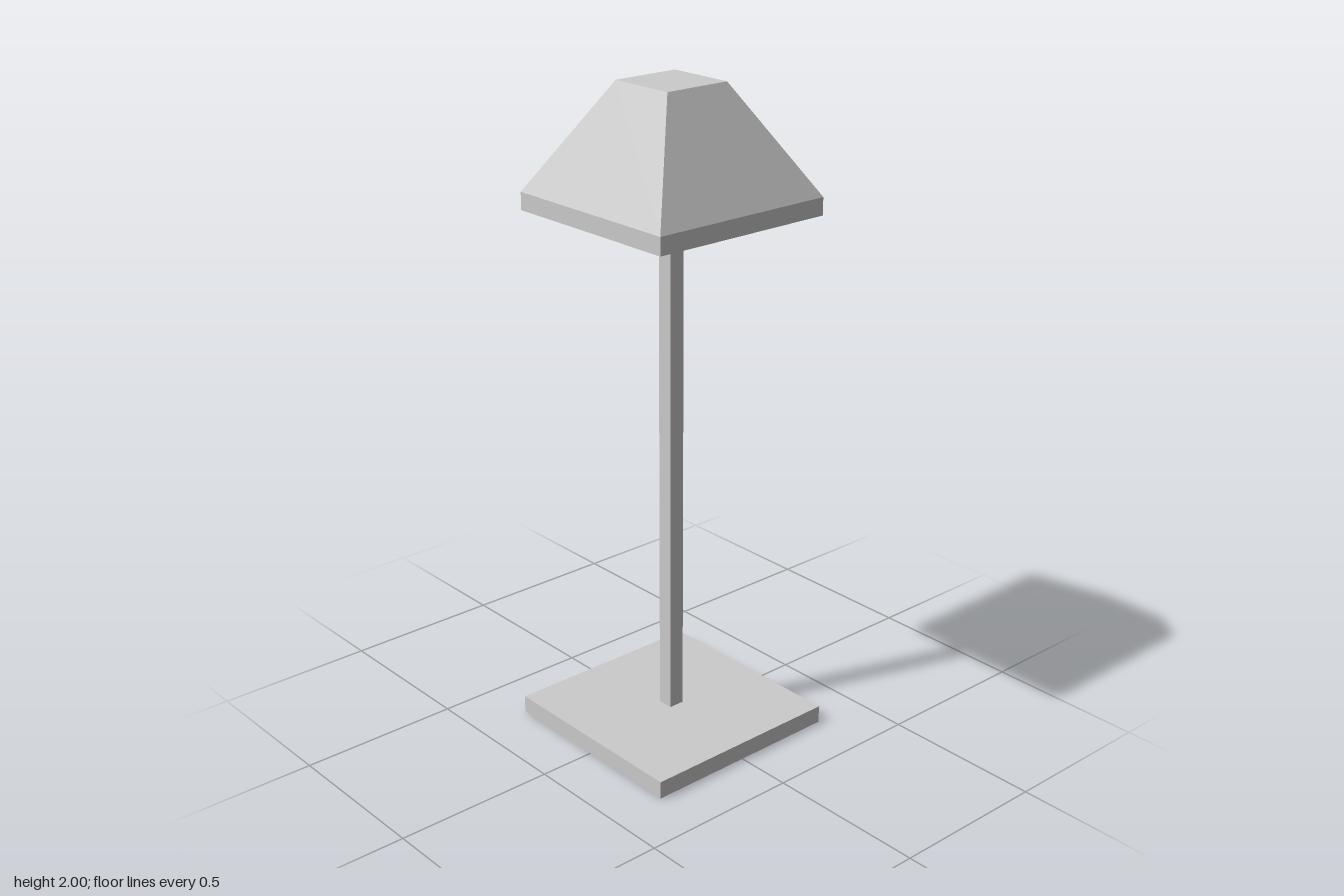
import * as THREE from 'three';

const material = new THREE.MeshStandardMaterial({ color: 0xcccccc, flatShading: true });

// Square solid from a [half width, height] profile listed from bottom to top
function squareSolid(name, profile) {
  const points = profile.map(([half, y]) => new THREE.Vector2(half * Math.SQRT2, y));
  const geometry = new THREE.LatheGeometry(points, 4, Math.PI / 4).toNonIndexed();
  geometry.computeVertexNormals();
  const mesh = new THREE.Mesh(geometry, material);
  mesh.name = name;
  return mesh;
}

function box(name, width, bottom, top) {
  const mesh = new THREE.Mesh(new THREE.BoxGeometry(width, top - bottom, width), material);
  mesh.position.y = (bottom + top) / 2;
  mesh.name = name;
  return mesh;
}

export function createModel() {
  const lamp = new THREE.Group();
  lamp.name = 'floorLamp';

  // Flat foot and slim square pole
  lamp.add(box('base', 0.65, 0, 0.055));
  lamp.add(box('pole', 0.05, 0.055, 1.627));

  // Closed shade: upright rim, then a taper to the flat top
  lamp.add(squareSolid('shade', [
    [0, 1.627], [0.3, 1.627], [0.3, 1.68], [0.108, 2], [0, 2],
  ]));

  return lamp;
}
